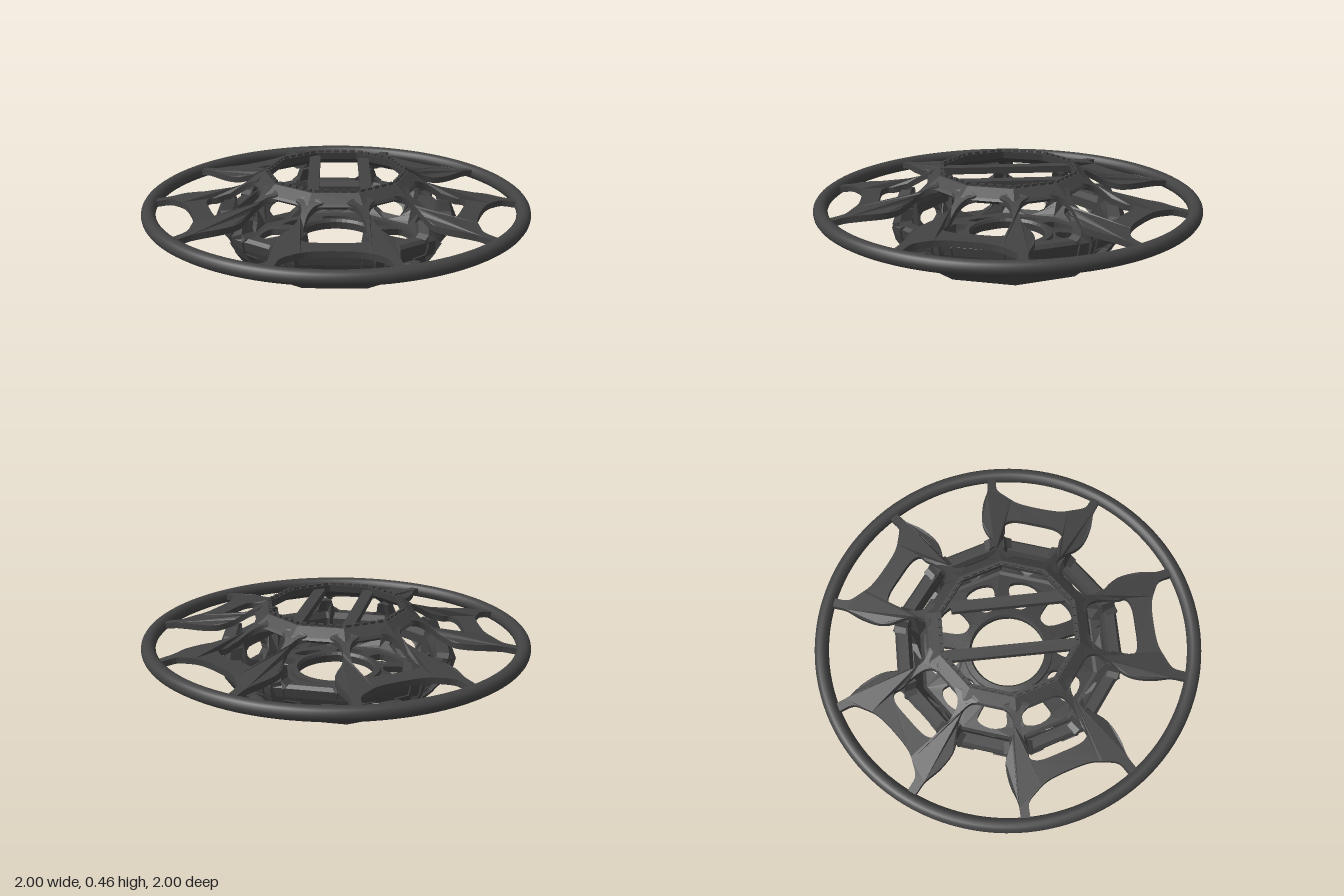
import * as THREE from 'three';

const DARK = 0x424242;
const SIDES = 10;
const STEP = (Math.PI * 2) / SIDES;
const C18 = Math.cos(STEP / 2), S18 = Math.sin(STEP / 2);

const flat = new THREE.MeshStandardMaterial({ color: DARK, flatShading: true });
const smooth = new THREE.MeshStandardMaterial({ color: DARK });

function add(parent, name, geometry, material = flat) {
  const mesh = new THREE.Mesh(geometry, material);
  mesh.name = name;
  parent.add(mesh);
  return mesh;
}

// Closed [radius, y] profile swept around the axis; corners fall on +z.
function sweep(profile, sides) {
  const pts = [...profile, profile[0]].map(([r, y]) => new THREE.Vector2(r, y));
  return new THREE.LatheGeometry(pts, sides);
}

// Smooth closed outline through a few plan points.
function outline(points, samples) {
  const curve = new THREE.CatmullRomCurve3(
    points.map(([x, y]) => new THREE.Vector3(x, y, 0)), true, 'centripetal');
  return curve.getPoints(samples).slice(0, -1).map(p => new THREE.Vector2(p.x, p.y));
}

// Plan shape (x, z) extruded downwards, its top lifted to height(radius).
function drape(shape, depth, height) {
  const g = new THREE.ExtrudeGeometry(shape, { depth, bevelEnabled: false });
  g.rotateX(Math.PI / 2);
  const p = g.attributes.position;
  for (let i = 0; i < p.count; i++) {
    p.setY(i, p.getY(i) + height(Math.hypot(p.getX(i), p.getZ(i))));
  }
  g.computeVertexNormals();
  return g;
}

const lerpAt = (table, t) => {
  if (t <= table[0][0]) return table[0][1];
  for (let i = 1; i < table.length; i++) {
    const [a, va] = table[i - 1], [b, vb] = table[i];
    if (t <= b) return va + ((vb - va) * (t - a)) / (b - a);
  }
  return table[table.length - 1][1];
};

// Forked plate: two tips reach the outer ring, two arms climb to the crown.
function plateGeometry() {
  const arm = (r, o) => [r * C18 - o * S18, r * S18 + o * C18];
  const half = [
    [0.765, 0.12], [0.79, 0.185], arm(0.86, -0.022), arm(0.945, -0.016),
    arm(0.945, 0.018), arm(0.86, 0.03), arm(0.77, 0.062), arm(0.67, 0.075),
    arm(0.61, 0.062), arm(0.54, 0.027), arm(0.47, 0.018), arm(0.43, 0.035),
    arm(0.4, 0.07), arm(0.385, 0.0), arm(0.4, -0.07), arm(0.43, -0.035),
    arm(0.47, -0.018), arm(0.545, -0.022), [0.59, 0.148], [0.63, 0.155], [0.655, 0.12],
  ];
  const mirrored = half.map(([u, v]) => [u, -v]).reverse();
  const shape = new THREE.Shape(outline([[0.757, 0], ...half, [0.662, 0], ...mirrored], 176));
  const rise = [[0.36, 0.44], [0.43, 0.398], [0.55, 0.325], [0.62, 0.308], [0.8, 0.302], [0.95, 0.28]];
  return drape(shape, 0.032, r => lerpAt(rise, r));
}

// Dished floor with a round eye and ten rounded openings between spokes.
function floorGeometry() {
  const polar = (r, a) => [r * Math.cos(a), r * Math.sin(a)];
  const shape = new THREE.Shape(Array.from({ length: SIDES }, (_, i) =>
    new THREE.Vector2(...polar(0.48, (i + 0.5) * STEP))));
  shape.holes.push(new THREE.Path().absarc(0, 0, 0.21, 0, Math.PI * 2, true));
  for (let i = 0; i < SIDES; i++) {
    const window = [[0.25, 0], [0.265, 0.13], [0.35, 0.2], [0.405, 0.19], [0.425, 0],
      [0.405, -0.19], [0.35, -0.2], [0.265, -0.13]];
    const pts = window.map(([r, a]) => polar(r, a + i * STEP));
    shape.holes.push(new THREE.Path(outline(pts, 24)));
  }
  return drape(shape, 0.035, r => lerpAt([[0.2, 0.09], [0.45, 0.037]], r));
}

// One half of a corner post, flared at the rails and folded around the corner.
function postGeometry(side) {
  const flare = [[0.045, 0.13], [0.06, 0.1], [0.075, 0.066], [0.1, 0.062], [0.12, 0.085],
    [0.135, 0.13], [0.14, 0.06], [0.2, 0.06], [0.22, 0.075], [0.24, 0.045], [0.295, 0.03]];
  const radius = [[0, 0.52], [0.06, 0.552], [0.135, 0.605], [0.2, 0.622], [0.295, 0.585]];
  const pts = [
    ...flare.map(([y, x]) => new THREE.Vector2(x * side, y)),
    ...flare.map(([y]) => new THREE.Vector2(0, y)).reverse(),
  ];
  const g = new THREE.ExtrudeGeometry(new THREE.Shape(pts), { depth: 0.06, bevelEnabled: false });
  const p = g.attributes.position;
  for (let i = 0; i < p.count; i++) {
    const fold = Math.abs(p.getX(i)) * (S18 / C18);
    p.setZ(i, p.getZ(i) - 0.056 + lerpAt(radius, p.getY(i)) - fold);
  }
  g.computeVertexNormals();
  return g;
}

export function createModel() {
  const model = new THREE.Group();
  model.name = 'wheelStation';

  // Outer ring
  const ring = new THREE.TorusGeometry(0.963, 0.037, 16, 120);
  ring.rotateX(Math.PI / 2);
  add(model, 'outerRing', ring, smooth).position.y = 0.262;

  // Five forked plates
  const plate = plateGeometry();
  for (let i = 0; i < 5; i++) {
    add(model, 'forkedPlate', plate).rotation.y = -(2 * i + 1) * STEP;
  }

  // Ten-sided crown
  add(model, 'crown', sweep([
    [0.35, 0.405], [0.405, 0.37], [0.435, 0.39], [0.425, 0.402],
    [0.37, 0.442], [0.345, 0.442],
  ], SIDES));

  // Small lugs along the crown's upper edge
  const lug = new THREE.BoxGeometry(0.028, 0.018, 0.014);
  const lugs = new THREE.Group();
  lugs.name = 'crownLugs';
  for (let i = 0; i < SIDES; i++) {
    const face = new THREE.Group();
    face.rotation.y = (i + 0.5) * STEP;
    for (let j = -2; j <= 2; j++) {
      add(face, 'lug', lug).position.set(j * 0.043, 0.446, 0.357 * C18);
    }
    lugs.add(face);
  }
  model.add(lugs);

  // Two parallel bars across the crown: ends in plan [x, z]
  for (const [[x0, z0], [x1, z1]] of [
    [[-0.14, -0.28], [0.335, 0.055]],
    [[-0.335, -0.1], [0.205, 0.285]],
  ]) {
    const bar = add(model, 'crownBar',
      new THREE.BoxGeometry(Math.hypot(x1 - x0, z1 - z0), 0.035, 0.058));
    bar.position.set((x0 + x1) / 2, 0.41, (z0 + z1) / 2);
    bar.rotation.y = -Math.atan2(z1 - z0, x1 - x0);
  }

  // Hull rails
  add(model, 'upperRail', sweep([
    [0.53, 0.14], [0.595, 0.125], [0.608, 0.16], [0.615, 0.205],
    [0.6, 0.222], [0.545, 0.222], [0.53, 0.19],
  ], SIDES));
  add(model, 'lowerRail', sweep([
    [0.455, 0], [0.51, 0], [0.522, 0.015], [0.552, 0.055],
    [0.53, 0.062], [0.5, 0.045], [0.46, 0.037],
  ], SIDES));

  // Corner posts, each from two mirrored halves
  const halves = [postGeometry(1), postGeometry(-1)];
  for (let i = 0; i < SIDES; i++) {
    const post = new THREE.Group();
    post.name = 'cornerPost';
    halves.forEach(g => add(post, 'postHalf', g));
    post.rotation.y = i * STEP;
    model.add(post);
  }

  // Floor with spokes and its hub ring
  add(model, 'spokedFloor', floorGeometry());
  add(model, 'hubRing', sweep([
    [0.2, 0.05], [0.225, 0.05], [0.24, 0.065], [0.235, 0.1], [0.205, 0.105], [0.195, 0.09],
  ], 40));

  return model;
}
